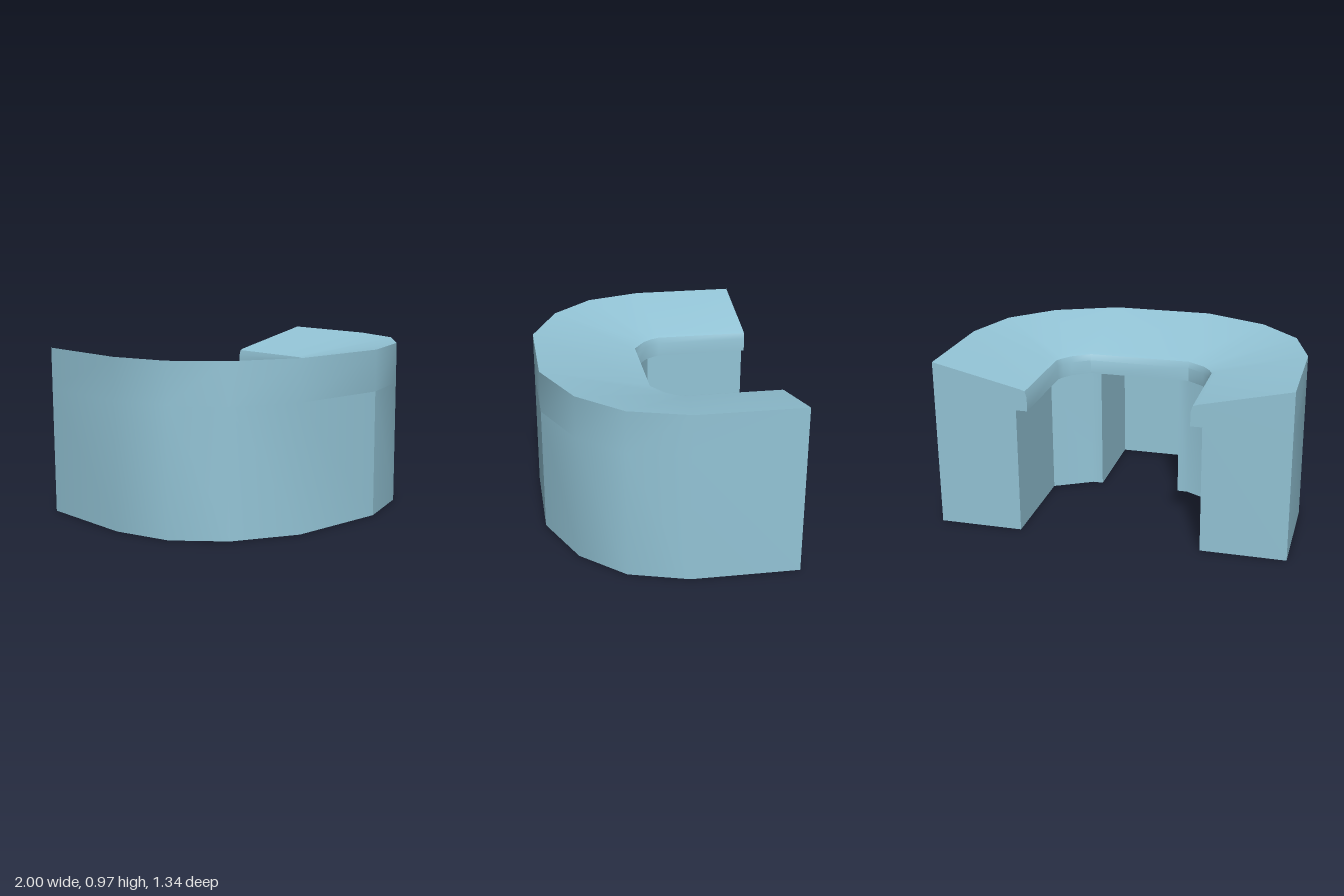
import * as THREE from 'three';
import { toCreasedNormals } from 'three/addons/utils/BufferGeometryUtils.js';

const BASE_H = 0.73;
const CREASE = 0.6;

const mirror = (pts) => pts.map(([x, z]) => [-x, z]).reverse();

// outer plan line (rear to front) and inner plan lines of the model's left half
const outer = [[1, -0.67], [1, -0.06], [0.9, 0.27], [0.67, 0.51], [0.3, 0.67]];
const topInner = [[0.455, -0.67], [0.455, -0.12], [0.435, -0.08], [0.4, -0.03], [0.3, 0.04]];
const baseInner = [[0.24, 0.61], [0.24, 0.06], [0.3, 0.06], [0.52, -0.06], [0.52, -0.67]];

// counter section: [share of the way from inner to outer edge, height]
const section = [[1, BASE_H], [1, 0.97], [0.07, 0.855], [0.02, 0.845], [0, 0.81], [0, BASE_H]];

function build(points, index) {
  const g = new THREE.BufferGeometry();
  g.setAttribute('position', new THREE.Float32BufferAttribute(points.flat(), 3));
  g.setIndex(index);
  return toCreasedNormals(g, CREASE);
}

// upright wall following a plan path
function wall(path) {
  const pts = [], idx = [];
  path.forEach(([x, z], i) => {
    pts.push([x, 0, z], [x, BASE_H, z]);
    if (i) {
      const a = 2 * i - 2;
      idx.push(a, a + 1, a + 3, a, a + 3, a + 2);
    }
  });
  return build(pts, idx);
}

// sloping counter swept round the U, closed at both ends
function counter() {
  const out = [...outer, ...mirror(outer)];
  const inn = [...topInner, ...mirror(topInner)];
  const n = section.length, pts = [], idx = [];
  out.forEach(([ox, oz], j) => {
    const [ix, iz] = inn[j];
    for (const [t, y] of section) pts.push([ix + (ox - ix) * t, y, iz + (oz - iz) * t]);
    if (j === out.length - 1) return;
    for (let k = 0; k < n; k++) {
      const a = j * n + k, b = j * n + (k + 1) % n;
      idx.push(a, b, a + n, b, b + n, a + n);
    }
  });
  const last = (out.length - 1) * n;
  for (let k = 1; k < n - 1; k++) {
    idx.push(0, k + 1, k);
    idx.push(last, last + k, last + k + 1);
  }
  return build(pts, idx);
}

export function createModel() {
  const group = new THREE.Group();
  group.name = 'uShapedDesk';
  const solid = new THREE.MeshStandardMaterial({ color: 0x93c4d6 });
  const thin = new THREE.MeshStandardMaterial({ color: 0x93c4d6, side: THREE.DoubleSide });
  const add = (name, geometry, material) => {
    const mesh = new THREE.Mesh(geometry, material);
    mesh.name = name;
    group.add(mesh);
  };

  add('counterTop', counter(), solid);

  // left cabinet is open underneath
  add('leftCabinetWalls', wall([...baseInner, ...outer]), thin);

  // right cabinet runs on into the front panel behind the knee space
  const rightPath = [...mirror(outer), ...mirror(baseInner), [0.24, 0.61]];
  add('rightCabinetWalls', wall([[0.3, 0.67], ...rightPath]), thin);

  // floor of the right cabinet and front panel
  const plan = [[0.24, 0.67], ...rightPath].map(([x, z]) => new THREE.Vector2(x, z));
  const floor = new THREE.ShapeGeometry(new THREE.Shape(plan));
  floor.rotateX(Math.PI / 2);
  add('rightCabinetFloor', floor, thin);

  return group;
}
